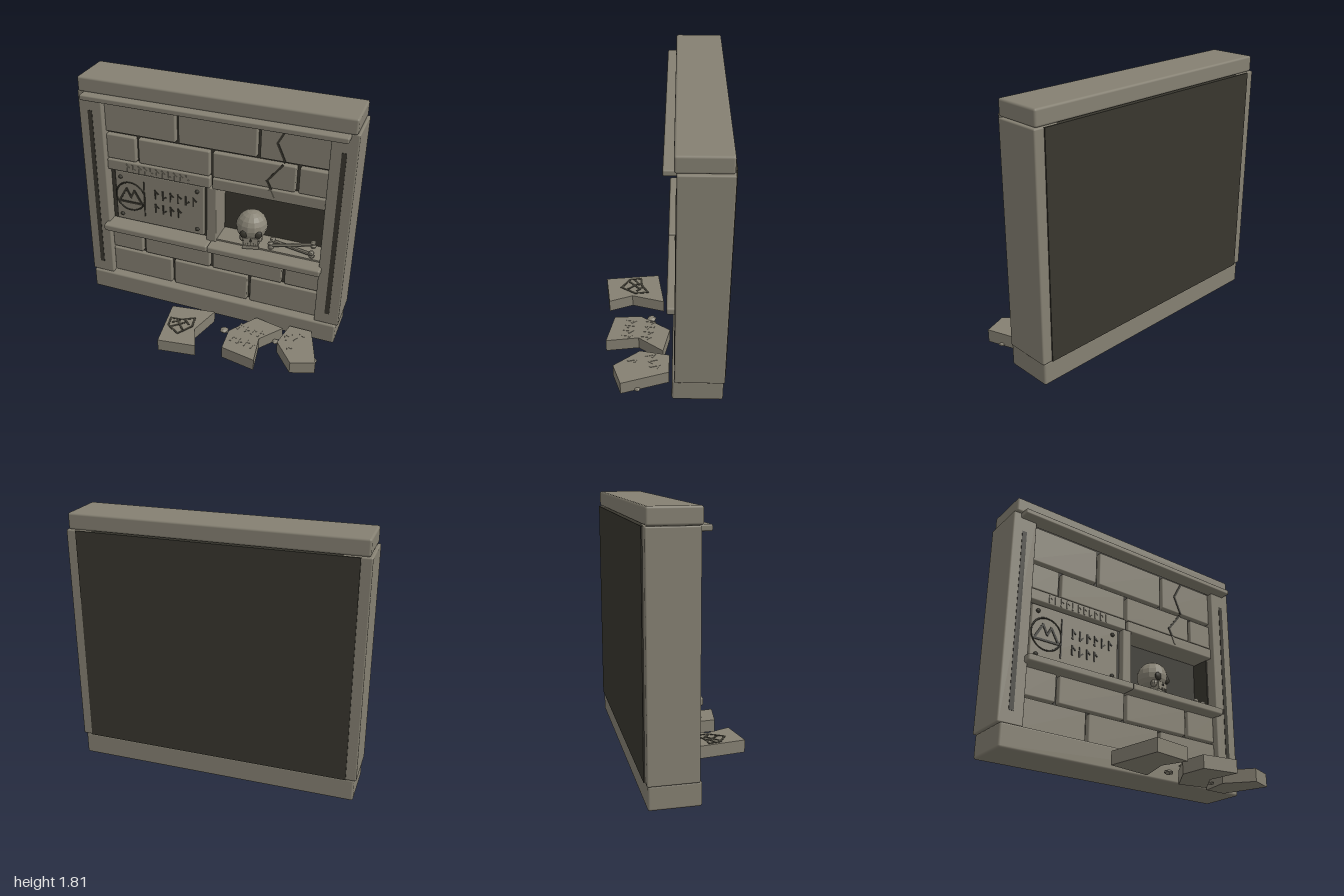
import * as THREE from 'three';
import { RoundedBoxGeometry } from 'three/addons/geometries/RoundedBoxGeometry.js';
import { mergeGeometries } from 'three/addons/utils/BufferGeometryUtils.js';

const material = (name, color, flatShading = false) => {
  const m = new THREE.MeshStandardMaterial({ color, flatShading });
  m.name = name;
  return m;
};

export function createModel() {
  const model = new THREE.Group();
  model.name = 'ruinedWall';
  const stone = material('stone', 0x858072);
  const dark = material('dark mortar', 0x38362e);
  const bone = material('bone', 0x888375, true);

  const add = (name, geometry, mat, parent = model) => {
    const mesh = new THREE.Mesh(geometry, mat);
    mesh.name = name;
    parent.add(mesh);
    return mesh;
  };
  // Block given by its limits on each axis
  const block = (name, x0, x1, y0, y1, z0, z1, mat = stone, r = 0.01) => {
    const [w, h, d] = [x1 - x0, y1 - y0, z1 - z0];
    const g = r ? new RoundedBoxGeometry(w, h, d, 2, r) : new THREE.BoxGeometry(w, h, d);
    g.translate((x0 + x1) / 2, (y0 + y1) / 2, (z0 + z1) / 2);
    return add(name, g, mat);
  };
  // Thin bars along a polyline in the xy plane
  const bars = (points, width, z, closed = false) => {
    const pts = closed ? [...points, points[0]] : points;
    return pts.slice(1).map(([bx, by], i) => {
      const [ax, ay] = pts[i];
      const g = new THREE.BoxGeometry(Math.hypot(bx - ax, by - ay) + width * 0.5, width, 0.008);
      g.rotateZ(Math.atan2(by - ay, bx - ax));
      return g.translate((ax + bx) / 2, (ay + by) / 2, z);
    });
  };
  // Row of abstract chisel marks: an upright with a slanting nick
  const chiselRow = (x, y, count, step, h, width, z) => {
    const parts = [];
    for (let i = 0; i < count; i++) {
      const cx = x + i * step, s = i % 3 === 1 ? -1 : 1;
      parts.push(...bars([[cx, y - h / 2], [cx, y + h / 2]], width, z));
      parts.push(...bars([[cx, y + s * h * 0.4], [cx + h * 0.36, y + s * h * 0.1]], width, z));
    }
    return parts;
  };

  // Frame: base, cap, pillars and cornice
  block('base', -0.985, 0.985, 0.01, 0.172, -0.425, -0.09, stone, 0.015);
  block('cap', -0.985, 0.985, 1.7, 1.81, -0.425, -0.09, stone, 0.015);
  block('cornice', -0.945, 0.945, 1.662, 1.702, -0.15, -0.028);
  for (const s of [-1, 1]) {
    block('pillar', s * 0.91 - 0.09, s * 0.91 + 0.09, 0.17, 1.7, -0.432, -0.105);
    block('pillarGroove', s * 0.912 - 0.017, s * 0.912 + 0.017, 0.26, 1.56, -0.109, -0.102, dark, 0);
  }

  // Mortar core with an opening for the niche, closed by the back panel
  const core = new THREE.Shape([[-0.83, 0.16], [0.83, 0.16], [0.83, 1.71], [-0.83, 1.71]].map(p => new THREE.Vector2(...p)));
  core.holes.push(new THREE.Path([[0.03, 0.64], [0.03, 1.1], [0.81, 1.1], [0.81, 0.64]].map(p => new THREE.Vector2(...p))));
  add('mortarCore', new THREE.ExtrudeGeometry(core, { depth: 0.15, bevelEnabled: false }).translate(0, 0, -0.34), dark);
  block('backPanel', -0.93, 0.93, 0.174, 1.698, -0.44, -0.339, dark, 0);

  // Brick courses: bottom, top, joints
  const courses = [
    [0.175, 0.388, [-0.32, 0.295]],
    [0.402, 0.6, [-0.56, -0.005, 0.555]],
    [1.18, 1.374, [-0.58, -0.01, 0.61]],
    [1.396, 1.668, [-0.265, 0.33]],
  ];
  for (const [y0, y1, joints] of courses) {
    const xs = [-0.835, ...joints, 0.835];
    for (let i = 0; i < xs.length - 1; i++)
      block('brick', xs[i] + 0.012, xs[i + 1] - 0.012, y0, y1, -0.23, -0.15);
  }

  // Lintels, sills, divider and niche floor
  block('lintelLeft', -0.823, -0.015, 1.09, 1.176, -0.23, -0.14);
  block('lintelRight', 0.003, 0.823, 1.09, 1.176, -0.335, -0.14);
  block('sillLeft', -0.845, -0.006, 0.598, 0.652, -0.23, -0.05, stone, 0.014);
  block('sillRight', -0.004, 0.84, 0.598, 0.652, -0.23, -0.05, stone, 0.014);
  block('divider', -0.04, 0.035, 0.64, 1.095, -0.338, -0.14, stone, 0.008);
  block('nicheFloor', 0.035, 0.81, 0.64, 0.664, -0.338, -0.16, stone, 0);

  // Carved plaque
  block('plaque', -0.78, -0.07, 0.665, 1.078, -0.23, -0.165, stone, 0.008);
  const pz = -0.163;
  for (const x of [-0.735, -0.12]) for (const y of [0.71, 1.03])
    add('plaqueRivet', new THREE.SphereGeometry(0.016, 10, 6), dark).position.set(x, y, -0.165);
  add('plaqueCarving', mergeGeometries([
    ...bars([[-0.545, 0.73], [-0.545, 1.02]], 0.009, pz),
    ...bars([[-0.755, 0.825], [-0.69, 0.94], [-0.655, 0.87], [-0.625, 0.93], [-0.565, 0.825]], 0.016, pz, true),
    ...chiselRow(-0.455, 0.935, 6, 0.061, 0.07, 0.011, pz),
    ...chiselRow(-0.455, 0.815, 4, 0.061, 0.07, 0.011, pz),
  ]), dark);
  add('plaqueRing', new THREE.TorusGeometry(0.118, 0.006, 6, 32), dark).position.set(-0.66, 0.875, -0.165);
  add('lintelCarving', mergeGeometries(chiselRow(-0.665, 1.13, 11, 0.047, 0.055, 0.009, -0.138)), stone);

  // Crack running down the upper bricks
  add('crack', mergeGeometries([
    ...bars([[0.53, 1.662], [0.46, 1.53], [0.52, 1.398]], 0.015, -0.149),
    ...bars([[0.505, 1.372], [0.4, 1.235], [0.43, 1.178]], 0.015, -0.149),
  ]), dark);
  add('crackTip', mergeGeometries(bars([[0.425, 1.17], [0.45, 1.115]], 0.018, -0.139)), stone);

  // Skull, turned slightly to its left
  const skull = new THREE.Group();
  skull.name = 'skull';
  skull.position.set(0.285, 0.815, -0.215);
  skull.rotation.y = 0.25;
  model.add(skull);
  add('cranium', new THREE.SphereGeometry(0.115, 14, 10), bone, skull);
  add('upperJaw', new THREE.BoxGeometry(0.105, 0.06, 0.1), bone, skull).position.set(0, -0.09, 0.045);
  add('lowerJaw', new THREE.BoxGeometry(0.12, 0.026, 0.1), bone, skull).position.set(0, -0.137, 0.045);
  for (const s of [-1, 1]) {
    const eye = add('eyeSocket', new THREE.SphereGeometry(0.031, 10, 8), dark, skull);
    eye.position.set(s * 0.05, -0.025, 0.092);
    eye.scale.z = 0.6;
    add('cheek', new THREE.SphereGeometry(0.028, 8, 6), bone, skull).position.set(s * 0.058, -0.075, 0.06);
  }
  const nose = add('noseHole', new THREE.ConeGeometry(0.013, 0.03, 3), dark, skull);
  nose.position.set(0, -0.07, 0.096);
  for (let i = -2; i <= 2; i++)
    add('toothGap', new THREE.BoxGeometry(0.004, 0.022, 0.006), dark, skull).position.set(i * 0.019, -0.112, 0.094);

  // Crossed bones with knobbed ends
  for (const [a, b] of [
    [[0.44, 0.688, -0.19], [0.74, 0.735, -0.24]],
    [[0.44, 0.69, -0.25], [0.745, 0.692, -0.18]],
  ]) {
    const p = new THREE.Vector3(...a), q = new THREE.Vector3(...b), dir = q.clone().sub(p);
    const g = new THREE.Group();
    g.name = 'looseBone';
    g.position.copy(p).lerp(q, 0.5);
    g.quaternion.setFromUnitVectors(new THREE.Vector3(0, 1, 0), dir.clone().normalize());
    model.add(g);
    add('boneShaft', new THREE.CylinderGeometry(0.014, 0.014, dir.length(), 8), bone, g);
    for (const e of [-0.5, 0.5]) for (const s of [-1, 1])
      add('boneKnob', new THREE.SphereGeometry(0.021, 8, 6), bone, g).position.set(s * 0.013, e * dir.length(), 0);
  }

  // Fallen fragments: outlines as [x, z], laid flat on the ground
  const fragment = (name, outline, carving, mat) => {
    const g = new THREE.Group();
    g.name = name;
    g.rotation.x = -Math.PI / 2;
    model.add(g);
    const shape = new THREE.Shape(outline.map(([x, z]) => new THREE.Vector2(x, -z)));
    add('slab', new THREE.ExtrudeGeometry(shape, { depth: 0.093, bevelEnabled: false }), stone, g);
    add('slabCarving', mergeGeometries(carving), mat, g);
  };
  const fz = 0.092;
  fragment('fragmentLeft', [[-0.25, 0.03], [0.078, -0.02], [0.01, 0.22], [0.082, 0.39], [-0.195, 0.432]], [
    ...bars([[-0.205, -0.165], [-0.12, -0.155], [-0.035, -0.105], [-0.02, -0.2], [-0.09, -0.31], [-0.19, -0.25]], 0.016, fz, true),
    ...bars([[-0.165, -0.255], [-0.07, -0.165]], 0.016, fz),
    ...bars([[-0.145, -0.18], [-0.075, -0.255]], 0.016, fz),
    ...bars([[-0.175, -0.205], [-0.125, -0.175]], 0.016, fz),
    ...bars([[-0.095, -0.15], [-0.05, -0.19]], 0.016, fz),
  ], dark);
  const tilted = (x, z, count, angle) =>
    chiselRow(0, 0, count, 0.055, 0.07, 0.011, 0).map(g => g.rotateZ(angle).translate(x, -z, fz));
  fragment('fragmentMiddle', [[0.395, -0.07], [0.615, -0.025], [0.485, 0.15], [0.52, 0.38], [0.265, 0.335], [0.25, 0.145]],
    [...tilted(0.31, 0.07, 4, -0.15), ...tilted(0.3, 0.21, 4, -0.15)], stone);
  fragment('fragmentRight', [[0.655, -0.07], [0.82, -0.07], [0.932, 0.25], [0.765, 0.312], [0.618, 0.135]],
    [...tilted(0.66, 0.06, 3, 0.3), ...tilted(0.71, 0.18, 1, 0.3)], stone);

  // Pebbles
  for (const [x, z, r] of [[0.19, 0.07, 0.036], [0.585, 0.05, 0.028], [0.9, 0.14, 0.022]]) {
    const p = add('pebble', new THREE.IcosahedronGeometry(r, 0), bone);
    p.position.set(x, r * 0.55, z);
    p.scale.y = 0.5;
    p.rotation.y = x * 7;
  }
  return model;
}
